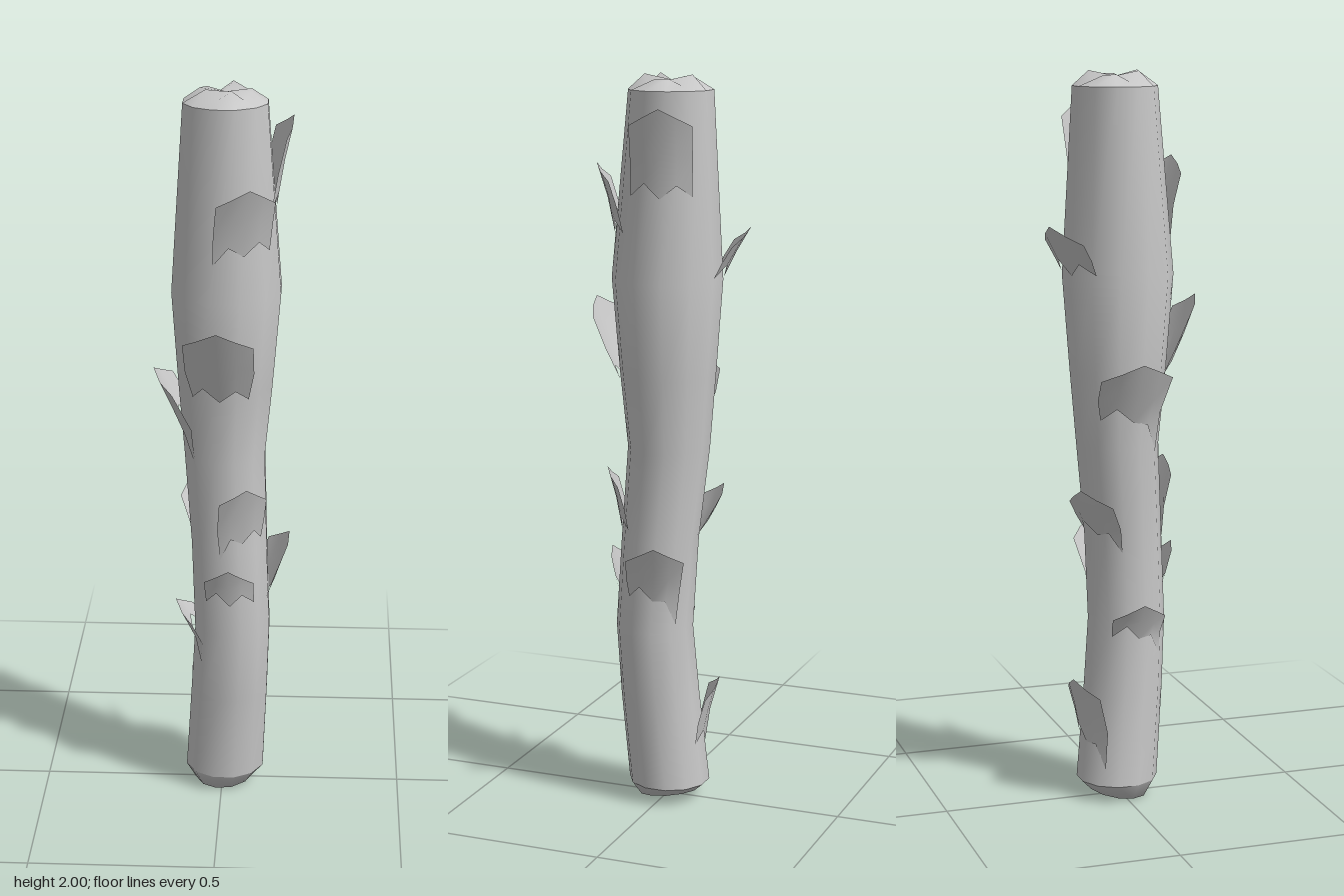
import * as THREE from 'three';
import { mergeVertices } from 'three/addons/utils/BufferGeometryUtils.js';

const SIDES = 12;
const DEG = Math.PI / 180;

// Trunk rings: height, centre x, centre z, radius
const RINGS = [
  [0.05, 0.007, -0.008, 0.112], [0.3, 0.02, 0.014, 0.109], [0.5, 0.029, 0.027, 0.106],
  [0.75, 0.02, 0.014, 0.106], [1.0, 0.007, -0.006, 0.112], [1.2, 0.009, -0.004, 0.13],
  [1.46, 0.011, -0.003, 0.15], [1.96, 0.007, -0.012, 0.114],
];

// Interpolated trunk ring at any height
function ringAt(y) {
  let i = 0;
  while (i < RINGS.length - 2 && y > RINGS[i + 1][0]) i++;
  const a = RINGS[i], b = RINGS[i + 1];
  const t = THREE.MathUtils.clamp((y - a[0]) / (b[0] - a[0]), 0, 1);
  return a.map((v, k) => v + (b[k] - v) * t);
}

function makeGeometry(positions, index) {
  const g = new THREE.BufferGeometry();
  g.setAttribute('position', new THREE.Float32BufferAttribute(positions, 3));
  g.setIndex(index);
  g.computeVertexNormals();
  return g;
}

// Gently bent twelve-sided trunk with smooth sides
function trunkGeometry() {
  let g = new THREE.CylinderGeometry(1, 1, 1, SIDES, RINGS.length - 1, true, Math.PI / SIDES);
  g.deleteAttribute('uv');
  g.deleteAttribute('normal');
  const p = g.attributes.position;
  for (let i = 0; i < p.count; i++) {
    const [y, cx, cz, r] = RINGS[Math.round((p.getY(i) + 0.5) * (RINGS.length - 1))];
    p.setXYZ(i, cx + p.getX(i) * r, y, cz + p.getZ(i) * r);
  }
  g = mergeVertices(g, 1e-5);
  g.computeVertexNormals();
  return g;
}

// Rough broken end: rim, uneven inner ring, centre
function endGeometry(ring, innerRadius, heightAt, centreY, up) {
  const [y, cx, cz, r] = ring;
  const pos = [], idx = [];
  for (let i = 0; i < SIDES; i++) {
    const a = (i + 0.5) / SIDES * Math.PI * 2;
    pos.push(cx + Math.sin(a) * r, y, cz + Math.cos(a) * r);
  }
  for (let i = 0; i < SIDES; i++) {
    const a = (i + 0.5) / SIDES * Math.PI * 2;
    pos.push(cx + Math.sin(a) * innerRadius, heightAt(a, i), cz + Math.cos(a) * innerRadius);
  }
  pos.push(cx, centreY, cz);
  const tri = (a, b, c) => (up ? idx.push(a, b, c) : idx.push(a, c, b));
  for (let i = 0; i < SIDES; i++) {
    const j = (i + 1) % SIDES;
    tri(i, j, SIDES + j);
    tri(i, SIDES + j, SIDES + i);
    tri(SIDES + i, SIDES + j, SIDES * 2);
  }
  return makeGeometry(pos, idx);
}

// Bark flake: pointed top leaning outwards, jagged foot following the trunk
function flakeGeometry({ angle, top, foot, reach, half, skew = 0 }) {
  const [, cx, cz] = ringAt(top);
  const pos = [], idx = [];
  const teeth = [0, 0.035, -0.005, 0.03, 0];
  const add = (t, y) => {
    const base = ringAt(y);
    const k = THREE.MathUtils.clamp((y - foot) / (top - foot), 0, 1);
    const r = THREE.MathUtils.lerp(base[3] + 0.001, reach, k);
    const a = (angle + t * half * Math.min(reach / r, 1.35)) * DEG;
    const x = THREE.MathUtils.lerp(base[1], cx, k), z = THREE.MathUtils.lerp(base[2], cz, k);
    pos.push(x + Math.sin(a) * r, y, z + Math.cos(a) * r);
  };
  for (let i = 0; i < 5; i++) {
    const t = i / 2 - 1;
    const low = foot + teeth[i] + skew * Math.max(0, t * Math.sign(skew || 1)) * -Math.sign(skew || 1);
    const high = top - Math.abs(t) * 0.045;
    add(t, low);
    add(t, (low + high) / 2);
    add(t, high);
  }
  for (let i = 0; i < 4; i++) {
    for (let j = 0; j < 2; j++) {
      const a = i * 3 + j, b = a + 3;
      idx.push(a, b, b + 1, a, b + 1, a + 1);
    }
  }
  return makeGeometry(pos, idx);
}

// skew: how far the foot drops on the + or - side
const FLAKES = [
  { angle: 21, top: 1.77, foot: 1.59, reach: 0.193, half: 25, skew: -0.03 },
  { angle: -5, top: 1.4, foot: 1.19, reach: 0.215, half: 26 },
  { angle: -87, top: 1.24, foot: 1.08, reach: 0.195, half: 32, skew: 0.09 },
  { angle: 22, top: 0.945, foot: 0.78, reach: 0.162, half: 25, skew: -0.05 },
  { angle: 0, top: 0.71, foot: 0.6, reach: 0.14, half: 29 },
  { angle: -88, top: 0.57, foot: 0.47, reach: 0.155, half: 30, skew: 0.06 },
  { angle: 105, top: 0.755, foot: 0.6, reach: 0.17, half: 28, skew: 0.075 },
  { angle: 101, top: 1.92, foot: 1.69, reach: 0.18, half: 28 },
  { angle: 198, top: 1.6, foot: 1.47, reach: 0.22, half: 24 },
  { angle: 213, top: 0.89, foot: 0.76, reach: 0.165, half: 28, skew: 0.05 },
  { angle: 197, top: 0.35, foot: 0.17, reach: 0.168, half: 28, skew: 0.07 },
];

export function createModel() {
  const group = new THREE.Group();
  group.name = 'log';
  const bark = new THREE.MeshStandardMaterial({ color: 0xc8c8c8 });
  bark.name = 'pale grey bark';
  const flakeBark = bark;
  flakeBark.side = THREE.DoubleSide;

  const add = (name, geometry) => {
    const mesh = new THREE.Mesh(geometry, bark);
    mesh.name = name;
    group.add(mesh);
  };

  add('trunk', trunkGeometry());
  add('topEnd', endGeometry(RINGS[RINGS.length - 1], 0.07,
    (a, i) => 1.985 + 0.015 * Math.cos(i * 2.5), 1.985, true));
  add('bottomEnd', endGeometry(RINGS[0], 0.085,
    (a) => 0.014 + 0.014 * Math.cos(a - 145 * DEG), 0.015, false));
  FLAKES.forEach((f, i) => add('barkFlake' + (i + 1), flakeGeometry(f)));
  return group;
}
